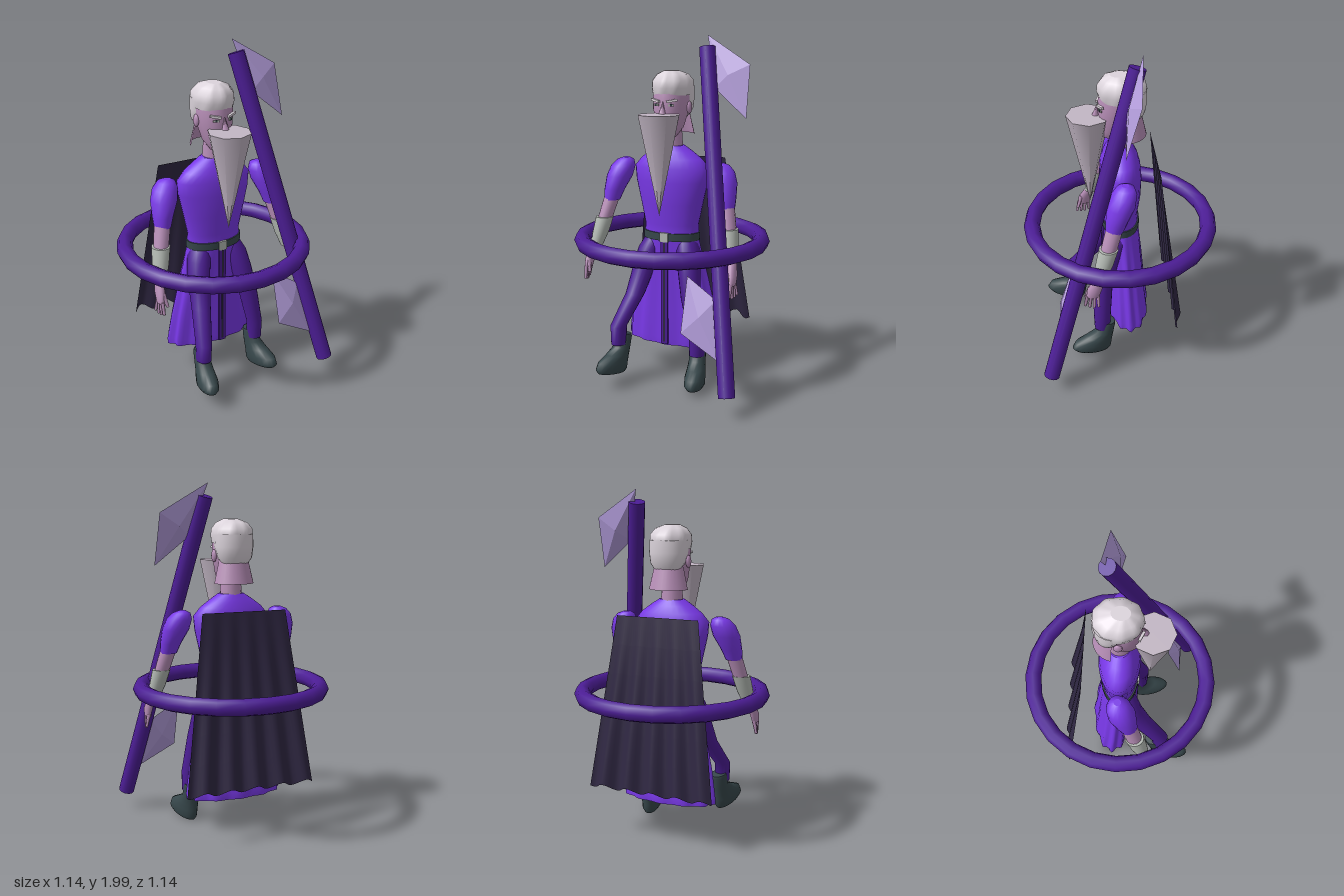
import * as THREE from 'three';

const mat = (name, color, extra = {}) => new THREE.MeshStandardMaterial({ name, color, ...extra });
const M = {
  robe: mat('violet robe', 0x7c3aed),
  dark: mat('deep purple', 0x4c1d95),
  cloak: mat('dark cloak', 0x2f2742, { side: THREE.DoubleSide }),
  boot: mat('slate leather', 0x37474b),
  skin: mat('lilac skin', 0xb88fb8, { side: THREE.DoubleSide }),
  hair: mat('white hair', 0xdcd4dc),
  beard: mat('grey beard', 0xc2b6c4),
  blade: mat('pale blade', 0xb39ddb),
  bracer: mat('grey bracer', 0xb4bab4),
};
const V = (x, y, z) => new THREE.Vector3(x, y, z);

function add(parent, name, geo, material, x = 0, y = 0, z = 0) {
  const mesh = new THREE.Mesh(geo, material);
  mesh.name = name;
  mesh.position.set(x, y, z);
  parent.add(mesh);
  return mesh;
}

// Closed body from horizontal rings, bottom to top: [x, y, z, rx, rz, fold depth]
function loft(rows, seg = 20, folds = 0) {
  const pos = [], idx = [];
  const ring = ([x, y, z, rx, rz, amp = 0]) => {
    const first = pos.length / 3;
    for (let j = 0; j < seg; j++) {
      const a = (j / seg) * Math.PI * 2, k = 1 + amp * Math.cos(folds * a);
      pos.push(x + rx * k * Math.sin(a), y, z + rz * k * Math.cos(a));
    }
    return first;
  };
  const starts = rows.map(ring);
  for (let i = 0; i + 1 < rows.length; i++) {
    for (let j = 0; j < seg; j++) {
      const n = (j + 1) % seg, a = starts[i], b = starts[i + 1];
      idx.push(a + j, a + n, b + n, a + j, b + n, b + j);
    }
  }
  for (const [row, up] of [[rows[0], false], [rows[rows.length - 1], true]]) {
    const s = ring(row), c = pos.length / 3;
    pos.push(row[0], row[1], row[2]);
    for (let j = 0; j < seg; j++) {
      const n = (j + 1) % seg;
      idx.push(c, s + (up ? j : n), s + (up ? n : j));
    }
  }
  const g = new THREE.BufferGeometry();
  g.setAttribute('position', new THREE.Float32BufferAttribute(pos, 3));
  g.setIndex(idx);
  g.computeVertexNormals();
  return g;
}

// Straight rod between two points
function rod(parent, name, a, b, r0, r1, material, seg = 8) {
  const d = b.clone().sub(a);
  const mesh = add(parent, name, new THREE.CylinderGeometry(r1, r0, d.length(), seg), material);
  mesh.position.copy(a).addScaledVector(d, 0.5);
  mesh.quaternion.setFromUnitVectors(V(0, 1, 0), d.normalize());
  return mesh;
}

// Faceted diamond blade; corners run clockwise seen from the front
function bladeGeometry(corners) {
  const c = corners.reduce((s, p) => s.add(p), V(0, 0, 0)).multiplyScalar(1 / corners.length);
  const n = V(0, 0.27, 0.96), pts = [];
  const front = c.clone().addScaledVector(n, 0.03), back = c.clone().addScaledVector(n, -0.03);
  corners.forEach((p, i) => {
    const q = corners[(i + 1) % corners.length];
    pts.push(front, q, p, back, p, q);
  });
  const g = new THREE.BufferGeometry().setFromPoints(pts);
  g.computeVertexNormals();
  return g;
}

function buildHead(root) {
  const head = new THREE.Group();
  head.name = 'head';
  root.add(head);
  add(head, 'neck', new THREE.CylinderGeometry(0.055, 0.065, 0.16, 16), M.skin, 0, 1.43, 0);
  add(head, 'face', loft([[0, 1.44, 0.05, 0.045, 0.05], [0, 1.49, 0.03, 0.078, 0.085],
    [0, 1.58, 0.01, 0.098, 0.11], [0, 1.66, 0, 0.105, 0.12], [0, 1.74, 0, 0.09, 0.1]]), M.skin);
  // flared flap behind the neck
  add(head, 'napeFlap', new THREE.CylinderGeometry(0.085, 0.12, 0.15, 14, 1, true, Math.PI * 0.55, Math.PI * 0.9),
    M.skin, 0, 1.52, -0.025);
  add(head, 'hairTop', loft([[0, 1.67, -0.01, 0.11, 0.122], [0, 1.71, -0.008, 0.116, 0.132, 0.025],
    [0, 1.75, -0.01, 0.113, 0.13, 0.03], [0, 1.785, -0.005, 0.085, 0.1, 0.04],
    [0, 1.805, 0.005, 0.04, 0.05]], 36, 9), M.hair);
  add(head, 'hairBack', loft([[0, 1.54, -0.06, 0.065, 0.045], [0, 1.59, -0.06, 0.1, 0.075],
    [0, 1.65, -0.045, 0.112, 0.1], [0, 1.72, -0.04, 0.112, 0.105]]), M.hair);
  const nose = add(head, 'nose', new THREE.ConeGeometry(0.02, 0.075, 6), M.skin, 0, 1.605, 0.128);
  nose.rotation.x = -0.15;
  for (const s of [-1, 1]) {
    add(head, 'eye', new THREE.BoxGeometry(0.034, 0.011, 0.006), M.bracer, s * 0.045, 1.618, 0.112).rotation.y = s * 0.4;
    add(head, 'pupil', new THREE.BoxGeometry(0.012, 0.012, 0.008), M.boot, s * 0.045, 1.618, 0.113).rotation.y = s * 0.4;
    const brow = add(head, 'eyebrow', new THREE.BoxGeometry(0.062, 0.013, 0.014), M.hair, s * 0.05, 1.642, 0.113);
    brow.rotation.set(0, s * 0.42, s * 0.18);
    const ear = add(head, 'ear', new THREE.SphereGeometry(0.03, 10, 8), M.skin, s * 0.105, 1.6, -0.005);
    ear.scale.set(0.45, 1.2, 0.8);
  }
  const beard = add(head, 'beard', new THREE.ConeGeometry(0.122, 0.57, 8), M.beard, 0, 1.285, 0.175);
  beard.rotation.x = Math.PI;
}

function buildArm(root, s) {
  const arm = new THREE.Group();
  arm.name = s > 0 ? 'leftArm' : 'rightArm';
  root.add(arm);
  const part = (name, rows, m) =>
    add(arm, name, loft(rows.map(([x, ...r]) => [s * x, ...r]), 16), m);
  part('sleeve', [[0.36, 1.05, 0.065, 0.048, 0.05], [0.35, 1.11, 0.05, 0.06, 0.062],
    [0.328, 1.19, 0.025, 0.077, 0.078], [0.312, 1.25, 0.008, 0.072, 0.07], [0.3, 1.285, 0, 0.05, 0.05],
    [0.295, 1.298, 0, 0.02, 0.02]], M.robe);
  part('forearm', [[0.395, 0.92, 0.105, 0.042, 0.045], [0.358, 1.08, 0.06, 0.046, 0.048]], M.skin);
  part('bracer', [[0.425, 0.78, 0.15, 0.036, 0.038], [0.408, 0.86, 0.125, 0.047, 0.05],
    [0.392, 0.95, 0.1, 0.052, 0.055]], M.bracer);
  part('palm', [[0.452, 0.66, 0.197, 0.017, 0.036], [0.448, 0.71, 0.185, 0.024, 0.042],
    [0.43, 0.79, 0.15, 0.026, 0.03]], M.skin);
  for (let i = 0; i < 4; i++) {
    const z = 0.167 + i * 0.02;
    rod(arm, 'finger', V(s * 0.452, 0.67, z), V(s * (0.468 - i * 0.006), 0.585 + Math.abs(i - 1.5) * 0.008, z + 0.005 * i - 0.002),
      0.011, 0.008, M.skin, 6);
  }
  rod(arm, 'thumb', V(s * 0.44, 0.72, 0.21), V(s * 0.425, 0.64, 0.235), 0.013, 0.009, M.skin, 6);
}

// Trouser leg with its boot; the ankle sets the stride
function buildLeg(root, name, knee, ankle, lift, pitch, yaw) {
  const leg = new THREE.Group();
  leg.name = name;
  root.add(leg);
  const s = Math.sign(ankle.x);
  add(leg, 'trouser', loft([[ankle.x, ankle.y - 0.03, ankle.z, 0.044, 0.048], [ankle.x, ankle.y + 0.08, ankle.z, 0.047, 0.052],
    [knee.x, knee.y, knee.z, 0.056, 0.06], [s * 0.142, 0.68, 0.075, 0.066, 0.07],
    [s * 0.12, 0.78, 0.04, 0.07, 0.075], [s * 0.1, 0.84, 0.01, 0.06, 0.07]], 16), M.dark);
  const boot = add(leg, 'boot', loft([[0, 0, 0.07, 0.046, 0.11], [0, 0.02, 0.075, 0.058, 0.125],
    [0, 0.06, 0.068, 0.058, 0.118], [0, 0.1, 0.035, 0.052, 0.085], [0, 0.14, 0.005, 0.048, 0.056],
    [0, 0.21, 0, 0.049, 0.053], [0, 0.225, 0, 0.045, 0.049]], 18), M.boot, ankle.x, lift, ankle.z);
  boot.rotation.set(pitch, yaw, 0, 'YXZ');
}

function buildCloak(root) {
  const g = new THREE.PlaneGeometry(1, 1, 40, 6), p = g.attributes.position;
  for (let i = 0; i < p.count; i++) {
    const u = p.getX(i), t = 0.5 - p.getY(i);
    const wave = Math.cos((u + 0.23) * Math.PI * 10);
    p.setXYZ(i, u * (0.5 + 0.27 * t), 1.3 - t * (0.99 - 0.018 * wave), -0.2 - 0.12 * t - 0.021 * t * wave);
  }
  g.computeVertexNormals();
  add(root, 'cloak', g, M.cloak);
}

export function createModel() {
  const root = new THREE.Group();
  root.name = 'wizard';

  // Robe
  add(root, 'torso', loft([[0, 0.88, 0, 0.166, 0.102], [0, 0.93, 0, 0.165, 0.1], [0, 1.05, 0, 0.19, 0.116],
    [0, 1.18, 0, 0.22, 0.12], [0, 1.26, 0, 0.228, 0.112], [0, 1.31, 0, 0.185, 0.098],
    [0, 1.35, 0, 0.13, 0.08], [0, 1.385, 0, 0.075, 0.06]], 28), M.robe);
  add(root, 'skirt', loft([[0, 0.2, -0.04, 0.285, 0.122, 0.045], [0, 0.24, -0.04, 0.285, 0.125, 0.045],
    [0, 0.4, -0.03, 0.262, 0.115, 0.04], [0, 0.6, -0.02, 0.222, 0.108, 0.03],
    [0, 0.76, -0.008, 0.185, 0.104, 0.012], [0, 0.86, 0, 0.163, 0.1]], 60, 12), M.robe);
  add(root, 'belt', loft([[0, 0.84, 0, 0.173, 0.11], [0, 0.885, 0, 0.173, 0.11]], 28), M.boot);
  add(root, 'buckle', new THREE.BoxGeometry(0.05, 0.055, 0.012), M.bracer, 0, 0.862, 0.112);
  const sash = add(root, 'sash', new THREE.BoxGeometry(0.042, 0.63, 0.012), M.dark, 0, 0.53, 0.106);
  add(sash, 'sashSeam', new THREE.BoxGeometry(0.012, 0.6, 0.008), M.cloak, 0, 0, 0.004);

  buildHead(root);
  for (const s of [-1, 1]) buildArm(root, s);
  buildLeg(root, 'leftLeg', V(0.172, 0.52, 0.12), V(0.217, 0.22, 0.13), 0.012, -0.13, 0.22);
  buildLeg(root, 'rightLeg', V(-0.168, 0.52, 0.15), V(-0.218, 0.27, 0.27), 0.072, -0.2, -0.2);
  buildCloak(root);

  // Floating ring
  add(root, 'ring', new THREE.TorusGeometry(0.523, 0.048, 8, 24), M.dark, 0, 0.837, 0).rotation.x = Math.PI / 2;

  // Staff with two blades
  const staff = new THREE.Group();
  staff.name = 'staff';
  root.add(staff);
  rod(staff, 'shaft', V(0.185, 1.93, -0.07), V(0.523, 0.12, 0.455), 0.047, 0.047, M.dark, 12);
  add(staff, 'upperBlade', bladeGeometry([V(0.175, 2, -0.1), V(0.44, 1.84, -0.065), V(0.45, 1.55, 0.015), V(0.255, 1.71, -0.01)]), M.blade);
  add(staff, 'lowerBlade', bladeGeometry([V(0.225, 0.71, 0.295), V(0.4, 0.6, 0.31), V(0.45, 0.29, 0.4), V(0.225, 0.41, 0.385)]), M.blade);
  return root;
}
